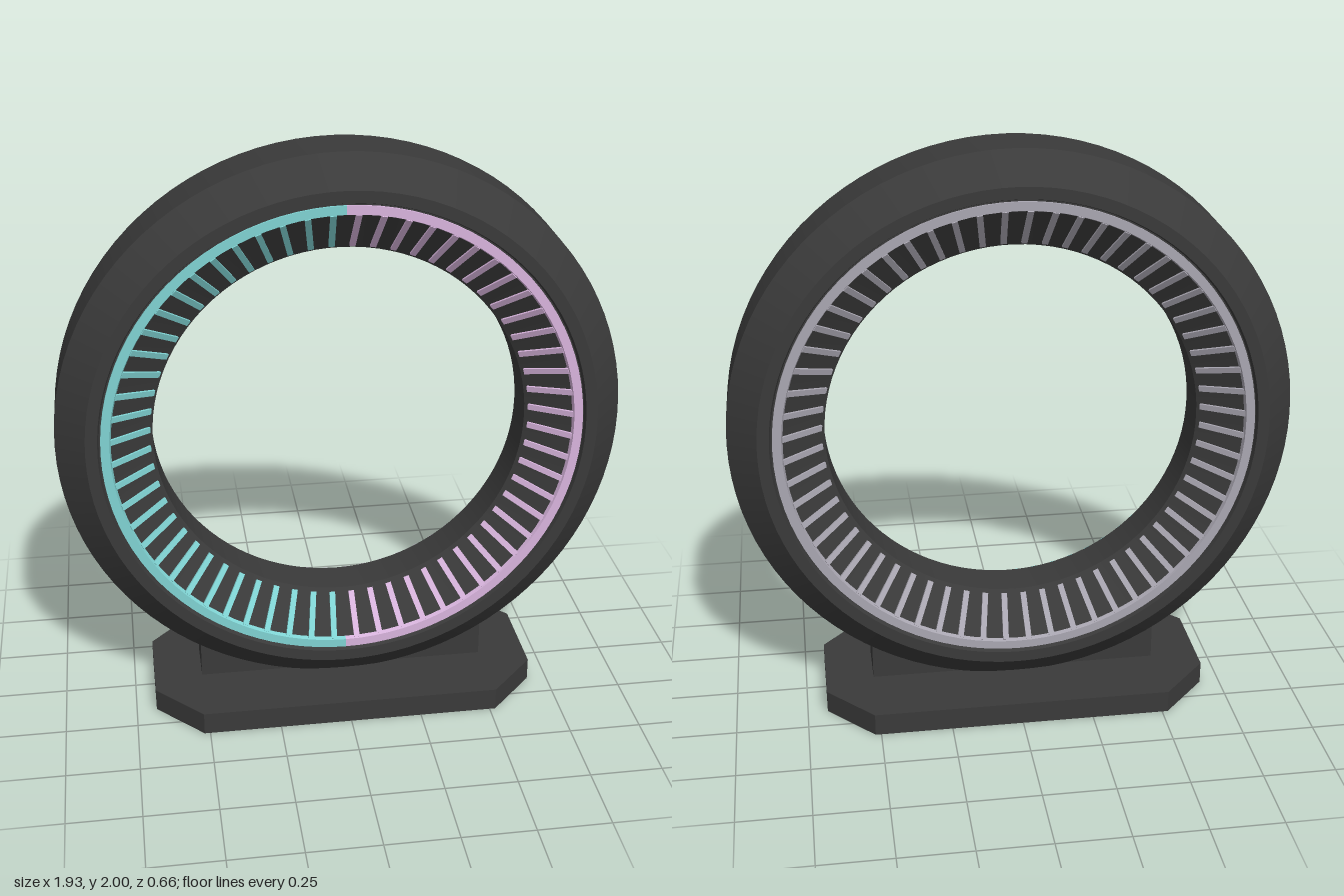
import * as THREE from 'three';
import { toCreasedNormals } from 'three/addons/utils/BufferGeometryUtils.js';

const CENTRE_Y = 1.035;
const SLATS = 60;

function material(name, color) {
  const m = new THREE.MeshStandardMaterial({ color });
  m.name = name;
  return m;
}

// Revolves a closed [radius, z] profile about the z axis; phi 0 is the bottom, 0..PI is the +x half
function revolve(profile, segments, start = 0, sweep = Math.PI * 2) {
  const points = profile.map(([r, z]) => new THREE.Vector2(r, z));
  const geo = new THREE.LatheGeometry(points, segments, start, sweep).rotateX(Math.PI / 2);
  return toCreasedNormals(geo, 0.4);
}

export function createModel() {
  const model = new THREE.Group();
  const charcoal = material('charcoal', 0x3a3a3a);
  const teal = material('teal', 0x80d4d4);
  const pink = material('pink', 0xd9b5de);
  const grey = material('pale grey', 0xaaa7b2);

  function add(name, geo, mat, parent = model) {
    const mesh = new THREE.Mesh(geo, mat);
    mesh.name = name;
    parent.add(mesh);
    return mesh;
  }

  const ring = new THREE.Group();
  ring.name = 'ring';
  ring.position.y = CENTRE_Y;
  model.add(ring);

  // Bevelled hoop with a recessed lip and a funnel-shaped inside on both faces
  const half = [[0.965, 0.1], [0.865, 0.195], [0.825, 0.195], [0.82, 0.18], [0.79, 0.18], [0.64, 0.07]];
  const back = half.map(([r, z]) => [r, -z]).reverse();
  add('hoop', revolve([[0.965, -0.1], ...half, ...back], 96), charcoal, ring);

  // Light rims: two colours at the front, one at the back
  const rim = [[0.815, 0.178], [0.815, 0.188], [0.785, 0.188], [0.78, 0.172]];
  const rimBack = rim.map(([r, z]) => [r, -z]).reverse();
  add('frontRimLeft', revolve(rim, 48, 0, Math.PI), pink, ring);
  add('frontRimRight', revolve(rim, 48, Math.PI, Math.PI), teal, ring);
  add('backRim', revolve(rimBack, 96), grey, ring);

  // Light slats lying on the inner funnels
  const slope = Math.atan2(0.11, 0.15);
  const frontSlat = new THREE.BoxGeometry(0.02, 0.165, 0.012)
    .rotateX(slope)
    .translate(0, 0.718, 0.13);
  const backSlat = frontSlat.clone().rotateY(Math.PI);
  for (let i = 0; i < SLATS; i++) {
    const angle = ((i + 0.5) / SLATS) * Math.PI * 2;
    const onRight = angle < Math.PI;
    add('frontSlat', frontSlat, onRight ? teal : pink, ring).rotation.z = angle;
    add('backSlat', backSlat, grey, ring).rotation.z = angle;
  }

  // Support block under the hoop
  add('support', new THREE.BoxGeometry(1.02, 0.15, 0.17), charcoal).position.y = 0.14;

  // Base plate with cut corners
  const outline = new THREE.Shape([
    [0.52, -0.33], [0.68, -0.16], [0.68, 0.16], [0.52, 0.33],
    [-0.52, 0.33], [-0.68, 0.16], [-0.68, -0.16], [-0.52, -0.33],
  ].map(([x, y]) => new THREE.Vector2(x, y)));
  const plate = new THREE.ExtrudeGeometry(outline, { depth: 0.08, bevelEnabled: false });
  add('basePlate', plate.rotateX(-Math.PI / 2), charcoal);

  return model;
}
